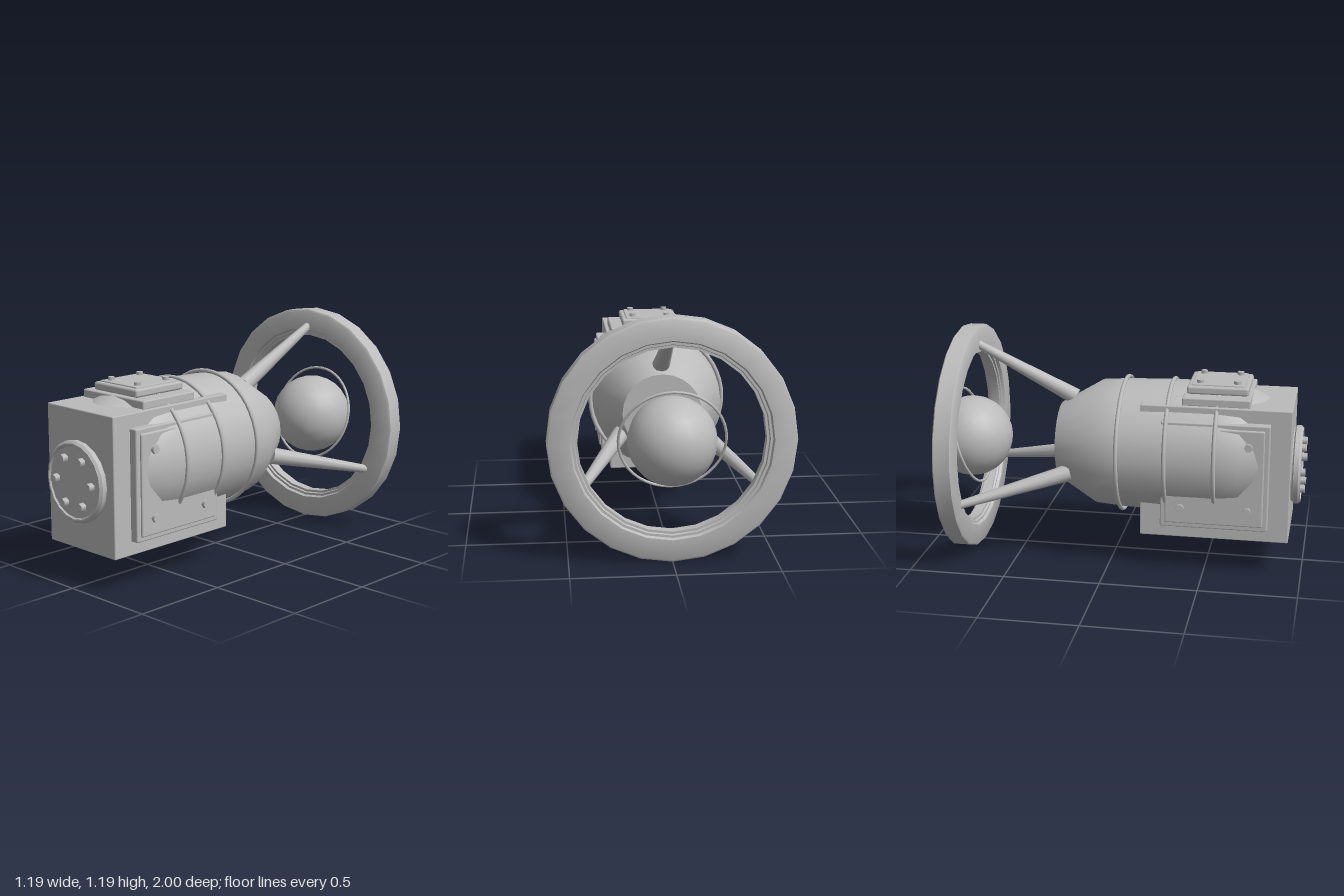
import * as THREE from 'three';
import { toCreasedNormals } from 'three/addons/utils/BufferGeometryUtils.js';
import { RoundedBoxGeometry } from 'three/addons/geometries/RoundedBoxGeometry.js';

const AXIS_Y = 0.6; // height of the main axis

export function createModel() {
  const model = new THREE.Group();
  model.name = 'satellite';
  const grey = new THREE.MeshStandardMaterial({ color: 0xbbbbbb });
  grey.name = 'hull grey';

  function add(name, geometry, x = 0, y = 0, z = 0, parent = model) {
    const mesh = new THREE.Mesh(geometry, grey);
    mesh.name = name;
    mesh.position.set(x, y, z);
    parent.add(mesh);
    return mesh;
  }

  // Revolves [radius, z] points around the z axis, keeping hard corners sharp
  function turned(points, segments = 24) {
    const profile = points.map(([r, z]) => new THREE.Vector2(r, z));
    const geometry = new THREE.LatheGeometry(profile, segments).rotateX(Math.PI / 2);
    return toCreasedNormals(geometry, 0.65);
  }

  const plate = (w, h, d, r = 0.008) => new RoundedBoxGeometry(w, h, d, 1, r);
  const boltGeometry = new THREE.CylinderGeometry(0.022, 0.022, 0.035, 6);

  // Barrel hull with tapered ends
  add('hull', turned([
    [0, -0.29], [0.203, -0.29], [0.328, -0.08], [0.338, 0.05], [0.346, 0.3],
    [0.346, 0.55], [0.338, 0.67], [0.27, 0.825], [0, 0.825],
  ]), 0, AXIS_Y);

  // Hoops around the hull
  for (const z of [0.055, 0.3, 0.55]) {
    add('hullHoop', new THREE.TorusGeometry(0.35, 0.011, 8, 48), 0, AXIS_Y, z);
  }

  // Equipment box at the front
  add('equipmentBox', plate(0.48, 0.7, 0.765, 0.006), 0, 0.53, 0.5475);

  // Round front hatch with six bolts
  add('frontHatch', turned([
    [0, -0.01], [0.19, -0.01], [0.19, 0.006], [0.204, 0.012], [0.204, 0.036],
    [0.192, 0.048], [0.184, 0.048], [0.178, 0.04], [0, 0.04],
  ], 20), 0, 0.53, 0.93);
  for (let i = 0; i < 6; i++) {
    const a = (i * Math.PI) / 3;
    const bolt = add('hatchBolt', boltGeometry, 0.127 * Math.cos(a), 0.53 + 0.127 * Math.sin(a), 0.982);
    bolt.rotation.x = Math.PI / 2;
  }

  // Side panels: backing plate, raised plate and corner bolts
  for (const side of [1, -1]) {
    const panel = new THREE.Group();
    panel.name = side > 0 ? 'leftPanel' : 'rightPanel';
    panel.position.set(side * 0.24, 0.53, 0.55);
    model.add(panel);
    add('backingPlate', plate(0.06, 0.56, 0.55), side * 0.013, 0, 0, panel);
    add('raisedPlate', plate(0.06, 0.51, 0.5), side * 0.024, 0, 0, panel);
    for (const y of [0.17, -0.17]) for (const z of [0.17, -0.17]) {
      add('panelBolt', boltGeometry, side * 0.054, y, z, panel).rotation.z = Math.PI / 2;
    }
  }

  // Stepped roof hatch
  add('roofHatchBase', plate(0.44, 0.045, 0.345), 0, 0.898, 0.545);
  add('roofHatchNeck', plate(0.28, 0.06, 0.28), 0, 0.92, 0.545);
  add('roofHatchLid', plate(0.312, 0.042, 0.315, 0.012), 0, 0.943, 0.545);
  add('roofHatchTop', plate(0.265, 0.03, 0.27, 0.005), 0, 0.956, 0.545);
  for (const x of [0.095, -0.095]) for (const z of [0.45, 0.64]) {
    add('roofBolt', new THREE.CylinderGeometry(0.018, 0.018, 0.03, 6), x, 0.972, z);
  }

  // Three tapered struts from the hull to the ring
  for (let i = 0; i < 3; i++) {
    const a = Math.PI / 2 + (i * Math.PI * 2) / 3;
    const at = (r, z) => new THREE.Vector3(r * Math.cos(a), AXIS_Y + r * Math.sin(a), z);
    const start = at(0.235, -0.215);
    const end = at(0.51, -0.765);
    const direction = end.clone().sub(start);
    const middle = start.clone().add(end).multiplyScalar(0.5);
    const geometry = new THREE.CylinderGeometry(0.021, 0.045, direction.length(), 10);
    const strut = add('strut', geometry, middle.x, middle.y, middle.z);
    strut.quaternion.setFromUnitVectors(new THREE.Vector3(0, 1, 0), direction.normalize());
  }

  // Large ring with a stepped inner lip
  add('ring', turned([
    [0.585, -0.05], [0.596, -0.042], [0.596, 0.042], [0.585, 0.05], [0.485, 0.05],
    [0.478, 0.035], [0.466, 0.035], [0.462, 0.025], [0.45, 0.025],
    [0.45, -0.025], [0.462, -0.025], [0.466, -0.035], [0.478, -0.035], [0.485, -0.05],
    [0.585, -0.05],
  ]), 0, AXIS_Y - 0.004, -0.78);

  // Ball with a thin tilted halo
  add('ball', new THREE.SphereGeometry(0.215, 20, 14), 0, 0.592, -0.785);
  const halo = add('halo', new THREE.TorusGeometry(0.257, 0.007, 8, 40), 0, 0.597, -0.792);
  halo.rotation.x = -0.27;

  return model;
}
